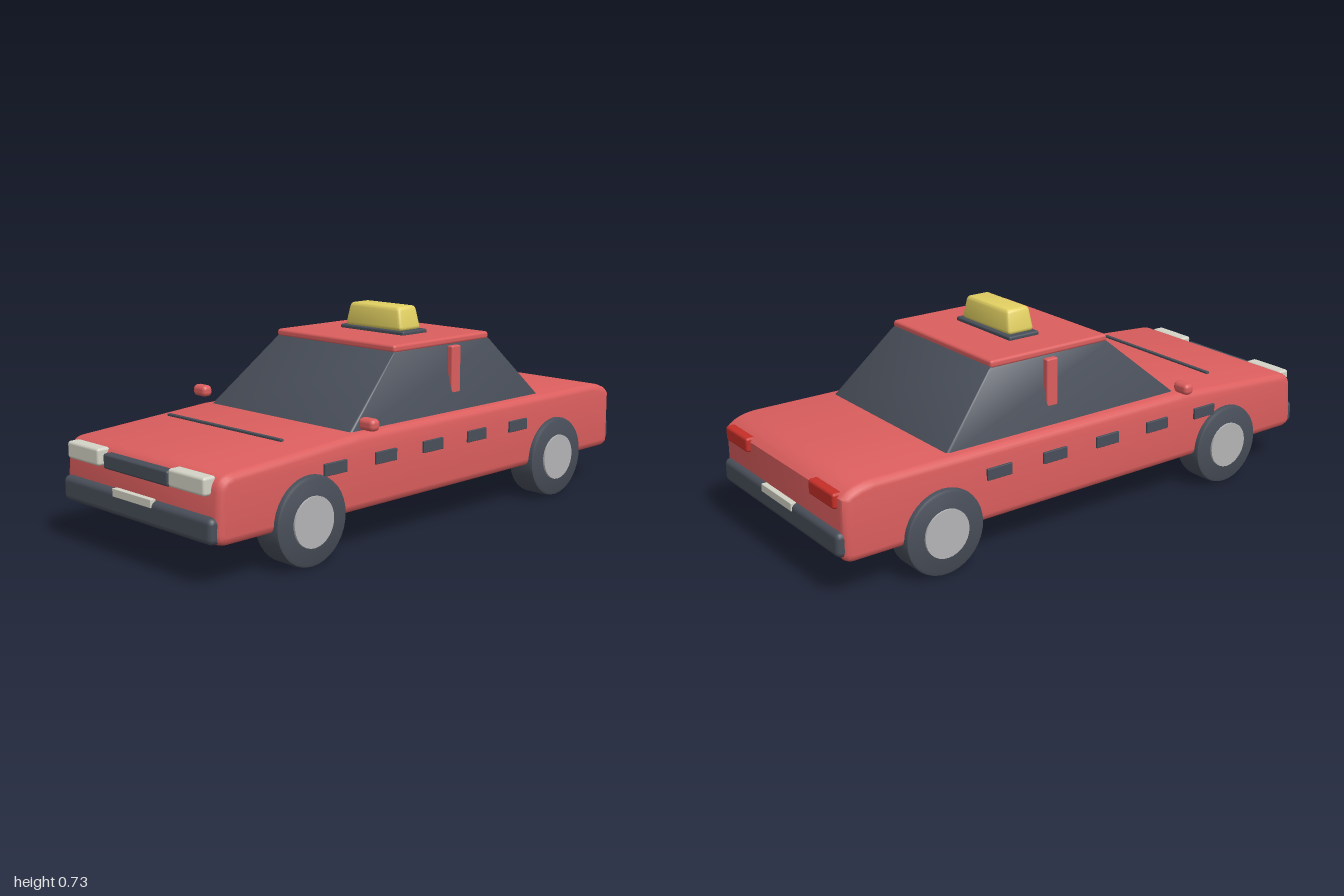
import * as THREE from 'three';
import { toCreasedNormals } from 'three/addons/utils/BufferGeometryUtils.js';
import { RoundedBoxGeometry } from 'three/addons/geometries/RoundedBoxGeometry.js';

const material = (name, color) => {
  const m = new THREE.MeshStandardMaterial({ color });
  m.name = name;
  return m;
};

export function createModel() {
  const car = new THREE.Group();
  car.name = 'car';
  const red = material('red paint', 0xdc5e5e);
  const dark = material('dark trim', 0x484e59);
  const yellow = material('sign yellow', 0xe2d062);
  const pale = material('pale lamp', 0xd3d3c6);
  const grey = material('hubcap grey', 0xb4b4b6);
  const tailRed = material('tail lamp red', 0xc62f28);

  const add = (name, geometry, mat, x = 0, y = 0, z = 0) => {
    const mesh = new THREE.Mesh(geometry, mat);
    mesh.name = name;
    mesh.position.set(x, y, z);
    car.add(mesh);
    return mesh;
  };

  // Rounded box given by its limits on each axis
  const block = (name, mat, [x0, x1], [y0, y1], [z0, z1], radius = 0.008) =>
    add(name, new RoundedBoxGeometry(x1 - x0, y1 - y0, z1 - z0, 2, radius), mat,
      (x0 + x1) / 2, (y0 + y1) / 2, (z0 + z1) / 2);

  // Rounded box whose upper end is scaled and shifted in z
  const tapered = (w, h, d, radius, topX, topZ, shiftZ) => {
    const g = new RoundedBoxGeometry(w, h, d, 2, radius);
    const p = g.attributes.position;
    for (let i = 0; i < p.count; i++) {
      const t = p.getY(i) / h + 0.5;
      p.setX(i, p.getX(i) * (1 + (topX - 1) * t));
      p.setZ(i, p.getZ(i) * (1 + (topZ - 1) * t) + shiftZ * t);
    }
    g.computeVertexNormals();
    return toCreasedNormals(g, 0.6);
  };

  // Body: side profile extruded across the width, with rounded edges
  const s = new THREE.Shape();
  s.moveTo(-0.945, 0.133);
  s.lineTo(0.94, 0.133);
  s.quadraticCurveTo(0.978, 0.135, 0.978, 0.17);
  s.lineTo(0.968, 0.3);
  s.quadraticCurveTo(0.962, 0.344, 0.915, 0.35);
  s.lineTo(0.4, 0.385);
  s.lineTo(-0.87, 0.385);
  s.quadraticCurveTo(-0.945, 0.382, -0.978, 0.345);
  s.lineTo(-0.978, 0.165);
  s.quadraticCurveTo(-0.978, 0.135, -0.945, 0.133);
  const bevel = 0.025;
  const width = 0.79;
  const body = new THREE.ExtrudeGeometry(s, {
    depth: width - 2 * bevel, curveSegments: 6, bevelEnabled: true,
    bevelSize: bevel, bevelThickness: bevel, bevelOffset: -bevel, bevelSegments: 3,
  });
  body.translate(0, 0, -(width - 2 * bevel) / 2);
  body.rotateY(-Math.PI / 2);
  add('body', toCreasedNormals(body, 0.6), red);

  // Cabin glass and roof
  add('cabinGlass', tapered(0.714, 0.25, 1.01, 0.012, 0.81, 0.475, -0.028), dark, 0, 0.49, -0.09);
  block('roof', red, [-0.293, 0.293], [0.605, 0.632], [-0.36, 0.13], 0.01);

  // Roof sign
  block('signBase', dark, [-0.157, 0.157], [0.628, 0.645], [-0.183, -0.058], 0.006);
  add('roofSign', tapered(0.28, 0.084, 0.11, 0.014, 0.86, 0.84, 0), yellow, 0, 0.685, -0.118);

  // Hood line
  block('hoodLine', dark, [-0.288, 0.288], [0.383, 0.391], [0.622, 0.636], 0.002);

  // Front face
  block('frontBumper', dark, [-0.384, 0.384], [0.14, 0.224], [0.94, 0.997], 0.02);
  block('grille', dark, [-0.167, 0.167], [0.28, 0.33], [0.94, 0.985]);
  block('frontPlate', pale, [-0.1, 0.1], [0.204, 0.231], [0.98, 1], 0.002);

  // Rear face
  block('rearBumper', dark, [-0.384, 0.384], [0.153, 0.237], [-0.997, -0.94], 0.02);
  block('rearPlate', pale, [-0.1, 0.1], [0.212, 0.24], [-1, -0.98], 0.002);

  // Tyre cross-section turned around its axle
  const tyre = new THREE.LatheGeometry([
    [0, -0.055], [0.135, -0.055], [0.144, -0.051], [0.147, -0.042],
    [0.147, 0.042], [0.144, 0.051], [0.135, 0.055], [0, 0.055],
  ].map(([r, y]) => new THREE.Vector2(r, y)), 36);
  tyre.rotateZ(Math.PI / 2);
  const tyreGeometry = toCreasedNormals(tyre, 0.6);
  const hub = toCreasedNormals(new THREE.CylinderGeometry(0.083, 0.083, 0.03, 28).rotateZ(Math.PI / 2), 0.6);

  // Paired parts on both sides
  for (const side of [1, -1]) {
    const label = side > 0 ? 'left' : 'right';
    const span = (a, b) => (side > 0 ? [a, b] : [-b, -a]);
    block(label + 'Headlight', pale, span(0.18, 0.354), [0.285, 0.343], [0.945, 0.994], 0.01);
    block(label + 'TailLight', tailRed, span(0.205, 0.36), [0.308, 0.36], [-0.992, -0.955], 0.01);
    block(label + 'DoorPillar', red, span(0.31, 0.335), [0.4, 0.608], [-0.162, -0.116], 0.006);
    block(label + 'Mirror', red, span(0.385, 0.454), [0.4, 0.441], [0.357, 0.398], 0.016);
    for (let i = 0; i < 5; i++) {
      const z = 0.505 - i * 0.2275;
      block(label + 'SideMarker', dark, span(0.385, 0.403), [0.277, 0.317], [z - 0.049, z + 0.049], 0.002);
    }
    for (const [end, z] of [['Front', 0.616], ['Rear', -0.624]]) {
      add(label + end + 'Tyre', tyreGeometry, dark, side * 0.358, 0.147, z);
      add(label + end + 'Hubcap', hub, grey, side * 0.405, 0.147, z);
    }
  }
  return car;
}
